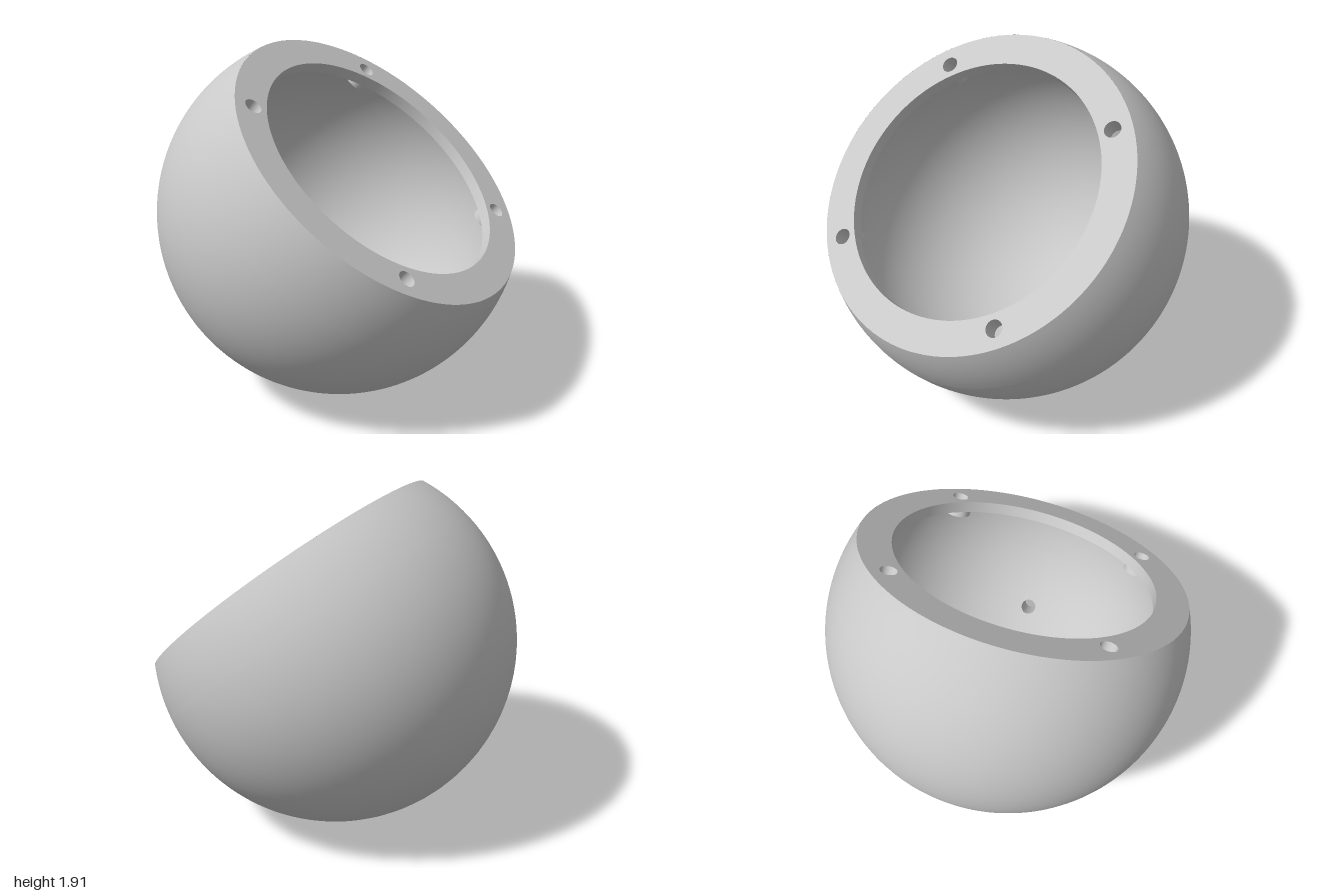
import * as THREE from 'three';

const OUTER = 1, INNER = 0.9;       // shell radii
const CUT = 0.436, RIM = 0.9;       // height and radius of the planar cut
const MOUTH = 0.72, LEDGE = 0.371;  // opening radius and height of the lip's underside
const BOSS_Y = 0.336, BOSS = 0.076; // bottom height and radius of the bolt bosses
const HOLE = 0.045;                 // radius of all small holes
const BOLT = 0.797;                 // bolt holes' distance from the axis
const DRAIN_Y = -0.283, DRAIN_Z = -0.03; // line of the side drain
const SEG = 400;
const ANGLES = Array.from({ length: SEG }, (_, j) => j / SEG * Math.PI * 2);
const sphereRadius = (R, y) => Math.sqrt(R * R - y * y);
const LEDGE_R = sphereRadius(INNER, LEDGE);   // cavity radius at the lip's underside
const BOSS_R = sphereRadius(INNER, BOSS_Y);   // cavity radius at the boss bottoms

// Surface through a stack of closed rings
function loft(rings, flip = false) {
  const index = [];
  for (let i = 0; i < rings.length - 1; i++) {
    for (let j = 0; j < SEG; j++) {
      const k = (j + 1) % SEG;
      const a = i * SEG + j, b = a + SEG, c = i * SEG + k, d = c + SEG;
      if (flip) index.push(a, c, b, b, c, d);
      else index.push(a, b, c, b, d, c);
    }
  }
  const geo = new THREE.BufferGeometry().setFromPoints(rings.flat());
  geo.setIndex(index);
  geo.computeVertexNormals();
  return geo;
}

// Ring around an upright axis at (cx, cz); radius may vary with the angle
function ring(radiusAt, y, cx = 0, cz = 0) {
  return ANGLES.map((t) => {
    const r = radiusAt(t);
    return new THREE.Vector3(cx + r * Math.cos(t), y, cz + r * Math.sin(t));
  });
}
const circle = (radius, y, cx, cz) => ring(() => radius, y, cx, cz);

// Near (-1) or far (+1) edge of a boss seen from the axis, null beside the bosses
function bossEdge(t, side) {
  const delta = (t % (Math.PI / 2)) - Math.PI / 4;
  const q = BOSS ** 2 - (BOLT * Math.sin(delta)) ** 2;
  return q < 0 ? null : BOLT * Math.cos(delta) + side * Math.sqrt(q);
}

// Ring where the sideways drain bore meets a sphere of radius R
function drainRing(R) {
  return ANGLES.map((t) => {
    const y = DRAIN_Y + HOLE * Math.cos(t), z = DRAIN_Z + HOLE * Math.sin(t);
    return new THREE.Vector3(Math.sqrt(R * R - y * y - z * z), y, z);
  });
}

// Sphere between the drain and a rim ring, blended in stereographic space
function shell(R, rim, flip) {
  const flat = (p) => new THREE.Vector2(p.x, p.z).divideScalar(R - p.y);
  const start = drainRing(R).map(flat), end = rim.map(flat);
  const middle = ANGLES.map((t) => new THREE.Vector2(Math.cos(t), Math.sin(t)).multiplyScalar(1.15));
  const rings = [];
  const blend = (from, to, first, steps) => {
    for (let i = first; i <= steps; i++) {
      rings.push(from.map((p, j) => {
        const v = p.clone().lerp(to[j], i / steps), q = v.lengthSq();
        return new THREE.Vector3(2 * v.x, q - 1, 2 * v.y).multiplyScalar(R / (q + 1));
      }));
    }
  };
  blend(start, middle, 0, 48);
  blend(middle, end, 1, 8);
  return loft(rings, flip);
}

export function createModel() {
  const grey = new THREE.MeshStandardMaterial({ color: 0xc8c8c8, side: THREE.DoubleSide });
  grey.name = 'grey';
  const model = new THREE.Group();
  model.name = 'tiltedBowl';
  const add = (name, geo) => {
    const mesh = new THREE.Mesh(geo, grey);
    mesh.name = name;
    model.add(mesh);
    return mesh;
  };

  // Outer wall, cavity stopping at the bosses, and the drain bore between them
  add('outerShell', shell(OUTER, circle(RIM, CUT), false));
  const cavityRim = ring((t) => THREE.MathUtils.clamp(bossEdge(t, 1) ?? 0, LEDGE_R, BOSS_R), 0);
  cavityRim.forEach((p) => { p.y = sphereRadius(INNER, p.length()); });
  add('cavity', shell(INNER, cavityRim, true));
  add('drainBore', loft([drainRing(INNER), drainRing(OUTER)]));

  // Flat rim, and bolt holes carried down into short bosses under the lip
  const face = new THREE.Shape().absarc(0, 0, RIM, 0, Math.PI * 2);
  face.holes.push(new THREE.Path().absarc(0, 0, MOUTH, 0, Math.PI * 2, true));
  const insideCavity = (p) => {
    const s = Math.min(1, BOSS_R / Math.hypot(p.x, p.z));
    return new THREE.Vector3(p.x * s, p.y, p.z * s);
  };
  const offset = BOLT * Math.SQRT1_2;
  for (const x of [-offset, offset]) {
    for (const z of [-offset, offset]) {
      face.holes.push(new THREE.Path().absarc(x, z, HOLE, 0, Math.PI * 2, true));
      const holeEnd = circle(HOLE, BOSS_Y, x, z);
      add('boltHole', loft([holeEnd, circle(HOLE, CUT, x, z)], true));
      const bottom = circle(BOSS, BOSS_Y, x, z).map(insideCavity);
      const top = bottom.map((p) => {
        const meet = sphereRadius(INNER, Math.hypot(p.x, p.z));
        return new THREE.Vector3(p.x, THREE.MathUtils.clamp(meet, BOSS_Y, LEDGE), p.z);
      });
      add('bossWall', loft([bottom, top]));
      add('bossBottom', loft([holeEnd.map(insideCavity), bottom]));
    }
  }
  add('rimFace', new THREE.ShapeGeometry(face, 64).rotateX(-Math.PI / 2)).position.y = CUT;

  // Short straight lip inside the opening and its underside
  add('openingLip', loft([circle(MOUTH, LEDGE), circle(MOUTH, CUT)], true));
  const ledgeEdge = ring((t) => Math.min(LEDGE_R, bossEdge(t, -1) ?? LEDGE_R), LEDGE);
  add('lipUnderside', loft([circle(MOUTH, LEDGE), ledgeEdge]));

  // Tip the opening toward the left side
  model.rotation.z = -THREE.MathUtils.degToRad(40);
  model.position.set(0.015, 1, 0);
  const root = new THREE.Group();
  root.name = 'bowl';
  root.add(model);
  return root;
}
